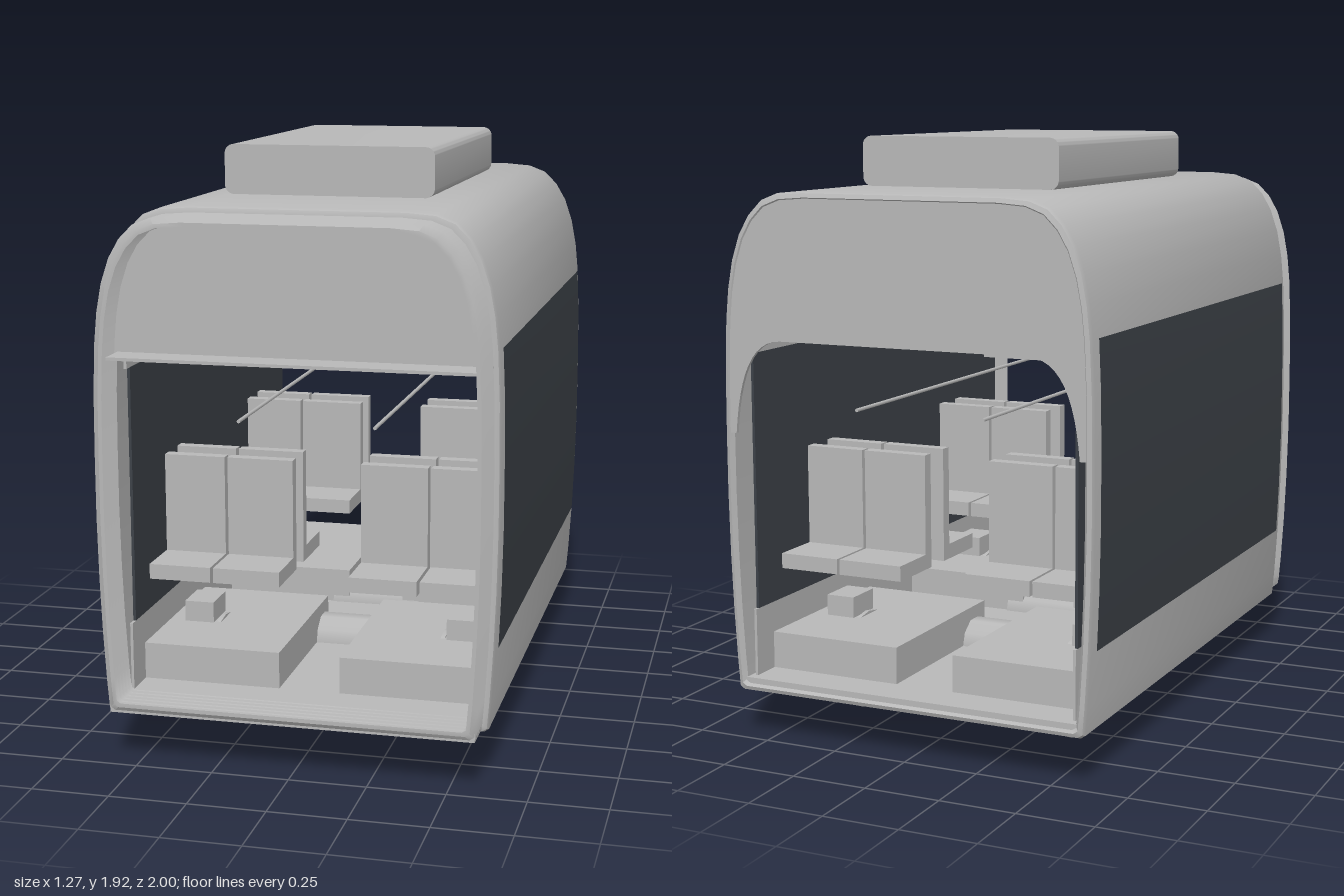
import * as THREE from 'three';
import { toCreasedNormals } from 'three/addons/utils/BufferGeometryUtils.js';
import { RoundedBoxGeometry } from 'three/addons/geometries/RoundedBoxGeometry.js';

const bodyGrey = new THREE.MeshStandardMaterial({ color: 0xb8b8b8, side: THREE.DoubleSide });
bodyGrey.name = 'body grey';
const darkGlass = new THREE.MeshStandardMaterial({ color: 0x3d4248, side: THREE.DoubleSide });
darkGlass.name = 'dark glass';

// Right half of the car body's cross-section, from the bottom centre to the top centre
const half = [
  [0, 0.155], [0.59, 0.155], [0.605, 0.165], [0.612, 0.25], [0.622, 0.42], [0.629, 0.6], [0.633, 0.8],
  [0.633, 1.0], [0.631, 1.2], [0.624, 1.36], [0.614, 1.46], [0.597, 1.55], [0.57, 1.63],
  [0.535, 1.69], [0.49, 1.735], [0.43, 1.758], [0.34, 1.765], [0, 1.765],
];
const profile = [...half, ...half.slice(1, -1).reverse().map(([x, y]) => [-x, y])];
const inset = ([x, y], d) => [x * (1 - d / 0.633), 0.96 + (y - 0.96) * (1 - d / 0.805)];

const BOGIES = [0.42, -0.54];
const MIDDLE = -0.06;

// Closed skin swept through a loop of [z, inset] sections
function loft(sections) {
  const pos = [], index = [], n = profile.length, m = sections.length;
  for (const [z, d] of sections) for (const p of profile) pos.push(...inset(p, d), z);
  for (let i = 0; i < m; i++) for (let j = 0; j < n; j++) {
    const a = i * n + j, b = i * n + (j + 1) % n;
    const c = ((i + 1) % m) * n + j, d = ((i + 1) % m) * n + (j + 1) % n;
    index.push(a, b, c, b, d, c);
  }
  const g = new THREE.BufferGeometry();
  g.setAttribute('position', new THREE.Float32BufferAttribute(pos, 3));
  g.setIndex(index);
  return toCreasedNormals(g, 0.6);
}

// Side window following the curve of the wall
function windowGeometry(side) {
  const pts = half.filter(([x, y]) => x > 0.5 && y >= 0.42 && y <= 1.36);
  const pos = [], index = [];
  pts.forEach(([x, y], i) => {
    pos.push(side * (x + 0.004), y, 0.82, side * (x + 0.004), y, -0.945);
    if (i) {
      const a = 2 * i - 2;
      if (side > 0) index.push(a, a + 1, a + 2, a + 1, a + 3, a + 2);
      else index.push(a, a + 2, a + 1, a + 1, a + 2, a + 3);
    }
  });
  const g = new THREE.BufferGeometry();
  g.setAttribute('position', new THREE.Float32BufferAttribute(pos, 3));
  g.setIndex(index);
  g.computeVertexNormals();
  return g;
}

// Panel closing the top of a car end, either arched or straight below
function endPanel(arched) {
  const low = arched ? 1.0 : 1.3;
  const s = new THREE.Shape();
  const right = half.map(p => inset(p, 0.02)).filter(([, y]) => y > low);
  const startX = arched ? 0.612 : 0.608;
  s.moveTo(startX, low);
  right.forEach(([x, y]) => s.lineTo(x, y));
  right.slice(0, -1).reverse().forEach(([x, y]) => s.lineTo(-x, y));
  s.lineTo(-startX, low);
  if (arched) {
    s.lineTo(-0.59, low);
    s.bezierCurveTo(-0.575, 1.18, -0.53, 1.3, -0.42, 1.3);
    s.lineTo(0.42, 1.3);
    s.bezierCurveTo(0.53, 1.3, 0.575, 1.18, 0.59, low);
  }
  return new THREE.ExtrudeGeometry(s, { depth: 0.012, bevelEnabled: false });
}

export function createModel() {
  const root = new THREE.Group();
  root.name = 'tramSection';

  const add = (name, geometry, material = bodyGrey, x = 0, y = 0, z = 0, parent = root) => {
    const mesh = new THREE.Mesh(geometry, material);
    mesh.name = name;
    mesh.position.set(x, y, z);
    parent.add(mesh);
    return mesh;
  };
  // Box given by its limits on each axis
  const box = (name, [x0, x1], [y0, y1], [z0, z1], material = bodyGrey, parent = root) =>
    add(name, new THREE.BoxGeometry(Math.abs(x1 - x0), y1 - y0, Math.abs(z1 - z0)), material,
      (x0 + x1) / 2, (y0 + y1) / 2, (z0 + z1) / 2, parent);
  // Cylinder lying along x
  const axial = (name, r, length, sides, x, y, z, parent = root) =>
    add(name, new THREE.CylinderGeometry(r, r, length, sides).rotateZ(Math.PI / 2), bodyGrey, x, y, z, parent);

  // Outer shell with softened ends
  add('bodyShell', loft([[-0.985, 0.03], [-1, 0.018], [-0.994, 0.005], [-0.98, 0], [0.85, 0],
    [0.864, 0.005], [0.87, 0.018], [0.87, 0.03]]));

  // Ribbed gangway bellows
  const outer = [], inner = [];
  for (let i = 0; i <= 10; i++) {
    const z = 0.865 + i * 0.0135;
    outer.push([z, i % 2 ? 0.018 : 0.036]);
    inner.unshift([z, i % 2 ? 0.03 : 0.048]);
  }
  add('gangwayBellows', loft([...outer, ...inner]));

  add('rearEndPanel', endPanel(true), bodyGrey, 0, 0, -0.996);
  add('frontEndPanel', endPanel(false), bodyGrey, 0, 0, 0.86);
  box('floor', [-0.585, 0.585], [0.17, 0.2], [-0.99, 0.99]);
  box('ceiling', [-0.575, 0.575], [1.298, 1.308], [-0.985, 0.975]);

  // Roof equipment box
  add('roofUnit', new RoundedBoxGeometry(0.69, 0.16, 1.06, 4, 0.03), bodyGrey, 0, 1.845, -0.065).geometry
    .computeBoundingBox();
  const ends = new THREE.Shape();
  ends.absarc(0.315, 1.895, 0.03, 0, Math.PI / 2);
  ends.absarc(-0.315, 1.895, 0.03, Math.PI / 2, Math.PI);
  ends.absarc(-0.315, 1.795, 0.03, Math.PI, 1.5 * Math.PI);
  ends.absarc(0.315, 1.795, 0.03, 1.5 * Math.PI, 2 * Math.PI);
  const roofUnit = root.getObjectByName('roofUnit');
  roofUnit.geometry = toCreasedNormals(
    new THREE.ExtrudeGeometry(ends, { depth: 1.06, bevelEnabled: false, curveSegments: 6 }), 0.6);
  roofUnit.position.set(0, 0, -0.595);

  for (const s of [1, -1]) {
    // Side window and inner wall lining
    add('sideWindow', windowGeometry(s), darkGlass);
    const wall = [s * 0.555, s * 0.564];
    box('lowerLining', wall, [0.2, 0.42], [-0.96, 0.85]);
    box('innerWindow', wall, [0.42, 1.25], [-0.945, 0.82], darkGlass);
    box('upperLining', wall, [1.25, 1.298], [-0.96, 0.85]);
    // Grab rail
    add('grabRail', new THREE.CylinderGeometry(0.006, 0.006, 1.64, 8).rotateX(Math.PI / 2),
      bodyGrey, s * 0.22, 1.08, MIDDLE);
  }

  // Hanging information display
  box('displayCase', [-0.165, 0.165], [1.152, 1.265], [MIDDLE - 0.02, MIDDLE + 0.02]);
  box('displayHanger', [-0.007, 0.007], [1.26, 1.3], [MIDDLE - 0.007, MIDDLE + 0.007]);
  for (const s of [1, -1])
    box('displayScreen', [-0.15, 0.15], [1.163, 1.257], [MIDDLE + s * 0.019, MIDDLE + s * 0.024], darkGlass);

  // Wheel sets with the boxes and seats above them
  for (const z of BOGIES) {
    const bogie = new THREE.Group();
    bogie.name = 'bogie';
    bogie.position.z = z;
    root.add(bogie);
    axial('axle', 0.025, 0.96, 10, 0, 0.165, 0, bogie);
    const inward = z > 0 ? -0.245 : 0.24;
    axial('motor', 0.09, 0.32, 10, 0, 0.19, inward, bogie);
    for (const s of [1, -1]) {
      axial('wheelTread', 0.148, 0.05, 20, s * 0.41, 0.165, 0, bogie);
      axial('wheelFlange', 0.165, 0.014, 20, s * 0.385, 0.165, 0, bogie);
      axial('brakeDisc', 0.1, 0.022, 16, s * 0.25, 0.165, 0, bogie);
      box('axleBox', [s * 0.4, s * 0.5], [0.122, 0.39], [-0.067, 0.067], bodyGrey, bogie);
      box('wheelBox', [s * 0.1, s * 0.557], [0.2, 0.32], [-0.32, 0.32], bodyGrey, bogie);
      // Back-to-back seat pairs
      for (const [x0, x1] of [[0.115, 0.338], [0.348, 0.575]]) for (const f of [1, -1]) {
        box('seatBack', [s * x0, s * x1], [0.52, 0.9], [f * 0.045, f * 0.085], bodyGrey, bogie);
        box('seatCushion', [s * x0, s * x1], [0.52, 0.57], [f * 0.085, f * 0.26], bodyGrey, bogie);
      }
    }
  }
  return root;
}
